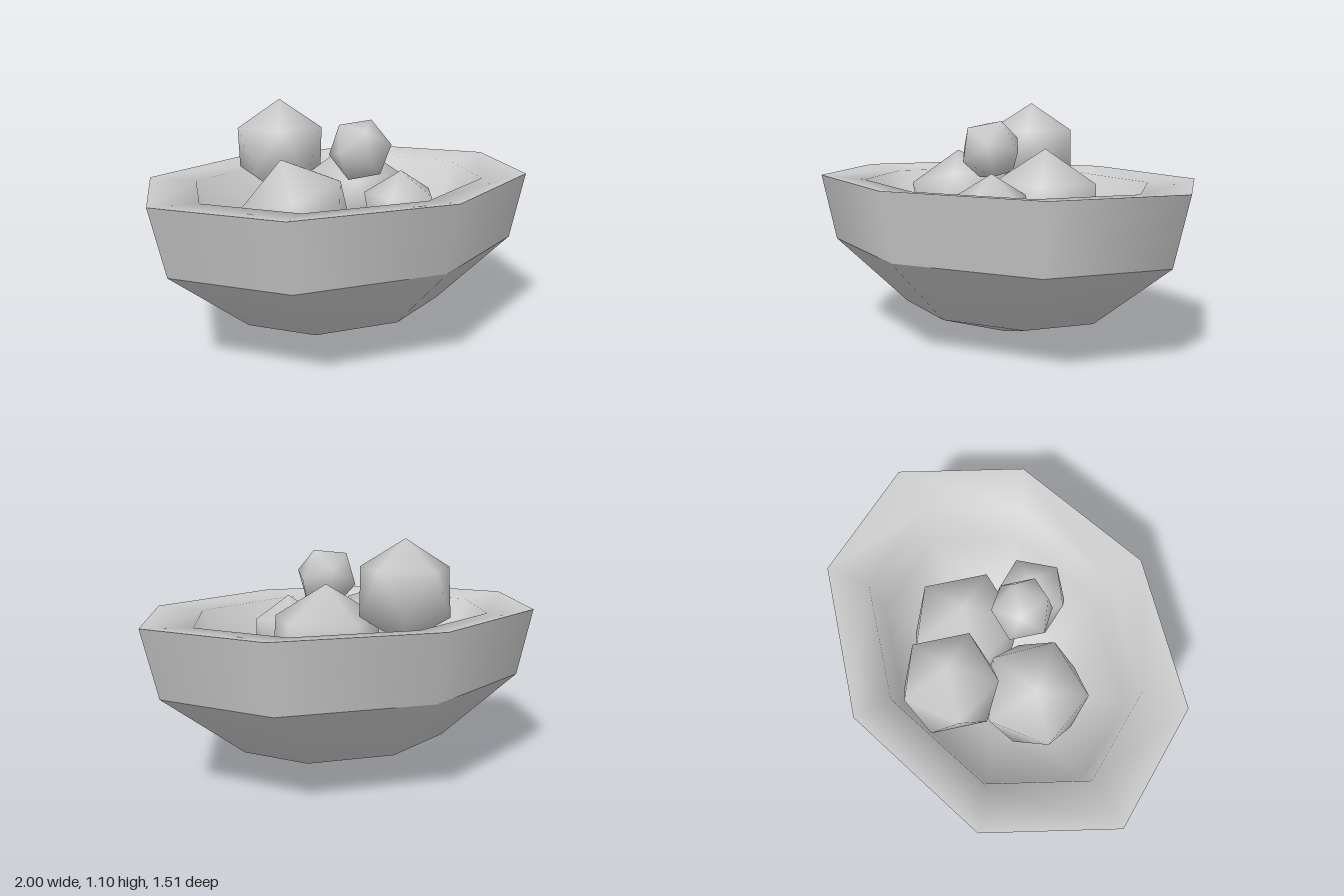
import * as THREE from 'three';

const DEPTH = 0.755; // ratio of the bowl's depth to its width

// Eight-sided oval shell turned from [radius, height] pairs
function ovalShell(name, profile, material) {
  const points = profile.map(([r, y]) => new THREE.Vector2(r, y));
  const geometry = new THREE.LatheGeometry(points, 8);
  geometry.scale(1, 1, DEPTH);
  const mesh = new THREE.Mesh(geometry, material);
  mesh.name = name;
  return mesh;
}

// Right-handed frame whose y axis is up, with side lying in its xy plane
function frame(up, side) {
  const y = up.clone().normalize();
  const x = side.clone().addScaledVector(y, -side.dot(y)).normalize();
  return new THREE.Matrix4().makeBasis(x, y, x.clone().cross(y));
}

// Smooth icosahedron with one corner along up and the next towards side
function fruit(name, { at, radius, up, side }, material) {
  const geometry = new THREE.IcosahedronGeometry(1, 0);
  const t = (1 + Math.sqrt(5)) / 2;
  const own = frame(new THREE.Vector3(1, t, 0), new THREE.Vector3(-1, t, 0));
  const wanted = frame(new THREE.Vector3(...up), new THREE.Vector3(...side));
  geometry.applyMatrix4(wanted.multiply(own.transpose()));
  geometry.setAttribute('normal', geometry.attributes.position.clone());
  geometry.scale(radius, radius, radius);
  const mesh = new THREE.Mesh(geometry, material);
  mesh.position.set(...at);
  mesh.name = name;
  return mesh;
}

export function createModel() {
  const model = new THREE.Group();
  model.name = 'fruitBowl';
  const grey = new THREE.MeshStandardMaterial({ color: 0xcccccc });
  grey.name = 'grey';

  // Bowl: pointed base, upright wall, thick rim running into the hollow
  const bowl = new THREE.Group();
  bowl.name = 'bowl';
  bowl.add(
    ovalShell('bowlBase', [[0, 0], [0.535, 0.14], [0.925, 0.445]], grey),
    ovalShell('bowlWall', [[0.925, 0.445], [1, 0.755]], grey),
    ovalShell('bowlInside', [[1, 0.755], [0.76, 0.735], [0.703, 0.5], [0.407, 0.268], [0, 0.162]], grey),
  );
  model.add(bowl);

  // Pile of round fruit
  const pile = new THREE.Group();
  pile.name = 'fruitPile';
  const fruits = {
    backFruit: { at: [-0.11, 0.86, -0.325], radius: 0.235, up: [0, 1, 0], side: [0, 0, -1] },
    leftFruit: { at: [0.165, 0.61, -0.105], radius: 0.28, up: [0, 1, 0], side: [0, 0, -1] },
    rightFruit: { at: [-0.265, 0.605, 0.01], radius: 0.27, up: [-0.065, 0.265, -0.03], side: [-0.155, 0.08, 0.19] },
    frontFruit: { at: [0.155, 0.61, 0.25], radius: 0.188, up: [0, 1, 0], side: [1, 0, 0.1] },
    topFruit: { at: [0.022, 0.89, 0.115], radius: 0.149, up: [0.068, 0.13, 0], side: [0.149, 0, -0.025] },
  };
  for (const [name, spec] of Object.entries(fruits)) pile.add(fruit(name, spec, grey));
  model.add(pile);

  return model;
}
